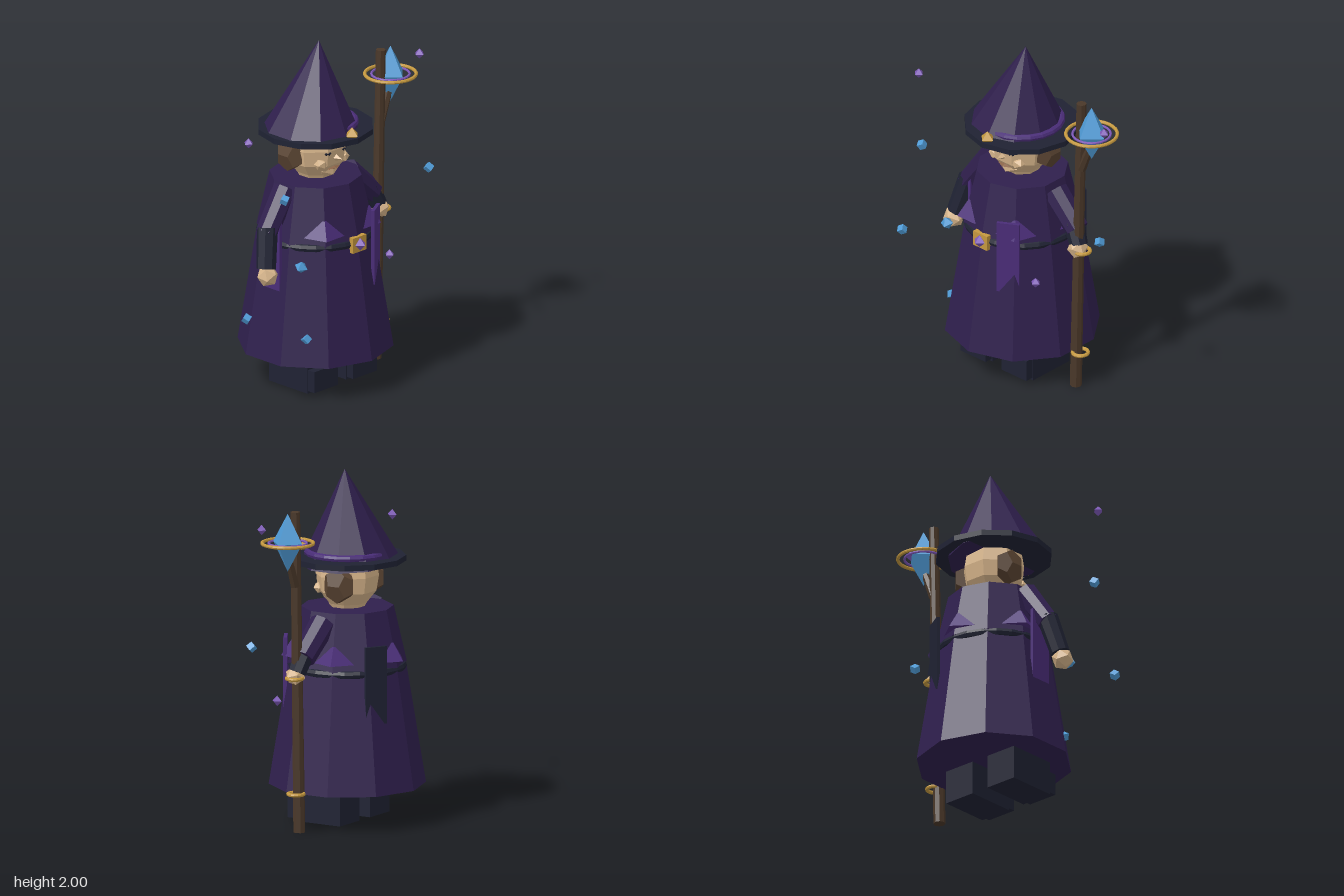
import * as THREE from 'three';

const mat = (name, color) => {
  const m = new THREE.MeshStandardMaterial({ color, flatShading: true });
  m.name = name;
  return m;
};

export function createModel() {
  const robe = mat('robePurple', 0x2f1f4d);
  const trim = mat('trimPurple', 0x4a2d78);
  const dark = mat('darkCloth', 0x1f2233);
  const skin = mat('skin', 0xd6b48a);
  const hair = mat('hairBrown', 0x5a4432);
  const wood = mat('wood', 0x4a3829);
  const gold = mat('gold', 0xc4983f);
  const blue = mat('crystalBlue', 0x4f9bd6);
  const violet = mat('gemViolet', 0x7d58b8);
  const lip = mat('lipBrown', 0x8a6448);

  const model = new THREE.Group();
  const add = (name, geo, material, pos = [0, 0, 0], rot = [0, 0, 0], scale = [1, 1, 1]) => {
    const m = new THREE.Mesh(geo, material);
    m.name = name;
    m.position.set(...pos);
    m.rotation.set(...rot);
    m.scale.set(...scale);
    model.add(m);
    return m;
  };
  const box = (w, h, d) => new THREE.BoxGeometry(w, h, d);
  const octa = (r) => new THREE.OctahedronGeometry(r);
  // upright frustum between two heights
  const frustum = (name, y0, y1, r0, r1, sides, material, turn = 0) =>
    add(name, new THREE.CylinderGeometry(r1, r0, y1 - y0, sides), material, [0, (y0 + y1) / 2, 0], [0, turn, 0]);
  // tapered rod from a to b
  const rod = (name, a, b, ra, rb, sides, material) => {
    const A = new THREE.Vector3(...a), B = new THREE.Vector3(...b);
    const dir = B.clone().sub(A);
    const m = add(name, new THREE.CylinderGeometry(rb, ra, dir.length(), sides), material);
    m.position.copy(A).add(B).multiplyScalar(0.5);
    m.quaternion.setFromUnitVectors(new THREE.Vector3(0, 1, 0), dir.normalize());
  };
  // horizontal ring
  const ring = (name, r, tube, seg, material, pos) =>
    add(name, new THREE.TorusGeometry(r, tube, 8, seg), material, pos, [Math.PI / 2, 0, 0]);

  // Robe, upper body and five-cornered sash
  frustum('robeSkirt', 0.21, 0.92, 0.44, 0.325, 10, robe);
  frustum('robeTop', 0.9, 1.22, 0.333, 0.26, 10, robe);
  frustum('sash', 0.94, 1.04, 0.37, 0.305, 5, trim, Math.PI / 5);

  // Belt with buckle
  ring('belt', 0.308, 0.026, 24, dark, [0, 0.885, 0]);
  add('buckle', box(0.105, 0.09, 0.03), gold, [0, 0.883, 0.33]);
  add('buckleGem', octa(0.038), violet, [0, 0.883, 0.348]);

  // Hanging cloth strips, evenly spaced around the waist
  [[30, trim], [150, dark], [270, trim]].forEach(([deg, m]) => {
    const a = THREE.MathUtils.degToRad(deg);
    add('clothStrip', box(0.13, 0.44, 0.02), m, [Math.sin(a) * 0.345, 0.825, Math.cos(a) * 0.345], [0, a, 0]);
  });

  // Boots
  for (const s of [1, -1]) {
    add('boot', box(0.2, 0.22, 0.3), dark, [s * 0.155, 0.125, 0.035]);
    add('bootToe', box(0.19, 0.125, 0.07), dark, [s * 0.155, 0.0925, 0.2]);
  }

  // Head
  const profile = [[0, 1.2], [0.09, 1.2], [0.11, 1.24], [0.165, 1.31], [0.18, 1.4], [0.165, 1.49], [0, 1.49]]
    .map(([x, y]) => new THREE.Vector2(x, y));
  add('head', new THREE.LatheGeometry(profile, 8), skin, [0, 0, 0], [0, Math.PI / 8, 0]);
  add('chin', new THREE.IcosahedronGeometry(0.07, 0), skin, [0, 1.27, 0.085], [0, 0, 0], [1.1, 0.7, 0.9]);
  add('nose', new THREE.ConeGeometry(0.03, 0.07, 4), skin, [0, 1.352, 0.172], [Math.PI / 2, 0, 0]);
  add('mouth', octa(0.05), lip, [0, 1.288, 0.142], [0, 0, 0], [1, 0.2, 0.5]);
  for (const s of [1, -1]) {
    add('eye', octa(0.034), dark, [s * 0.056, 1.39, 0.157], [0, 0, 0], [1, 0.72, 0.4]);
    add('cheek', new THREE.IcosahedronGeometry(0.045, 0), skin, [s * 0.085, 1.325, 0.125], [0, 0, 0], [1, 0.8, 0.8]);
    add('sideHair', new THREE.DodecahedronGeometry(0.1), hair, [s * 0.158, 1.365, -0.045], [0, 0, 0], [0.62, 1.08, 1.02]);
  }

  // Hat: level brim and band, leaning cone
  frustum('hatBrim', 1.478, 1.51, 0.33, 0.33, 12, dark);
  add('hatCone', new THREE.ConeGeometry(0.282, 0.53, 10), robe, [0, 1.738, 0], [0, 0, -0.1]);
  ring('hatBand', 0.222, 0.02, 20, trim, [0, 1.528, 0]);
  add('hatGem', octa(0.044), gold, [0, 1.52, 0.285]);

  // Arms: purple upper sleeve, dark forearm, hand
  rod('rightUpperArm', [-0.24, 1.19, 0], [-0.405, 0.965, 0.01], 0.07, 0.062, 8, robe);
  rod('rightForearm', [-0.395, 1.0, 0.01], [-0.45, 0.78, 0.055], 0.06, 0.055, 8, dark);
  add('rightHand', new THREE.IcosahedronGeometry(0.063, 0), skin, [-0.455, 0.745, 0.07], [0.2, 0.2, 0.1]);
  rod('leftUpperArm', [0.25, 1.16, 0], [0.435, 0.99, 0.015], 0.075, 0.068, 8, robe);
  rod('leftForearm', [0.405, 1.03, 0.015], [0.465, 0.91, 0.035], 0.06, 0.052, 8, dark);
  add('leftHand', new THREE.IcosahedronGeometry(0.06, 0), skin, [0.465, 0.895, 0.045], [0.3, 0.2, 0]);

  // Staff with side branch, crystal and rings
  rod('staff', [0.442, 0, 0.035], [0.485, 1.83, 0.035], 0.034, 0.028, 8, wood);
  rod('staffBranch', [0.484, 1.41, 0.035], [0.555, 1.58, 0.035], 0.028, 0.02, 6, wood);
  add('staffCrystal', octa(1), blue, [0.562, 1.668, 0.035], [0, 0, 0], [0.096, 0.165, 0.096]);
  ring('crystalOuterRing', 0.144, 0.01, 28, gold, [0.562, 1.665, 0.035]);
  ring('crystalInnerRing', 0.107, 0.007, 24, violet, [0.562, 1.665, 0.035]);
  ring('staffRing', 0.044, 0.011, 16, gold, [0.477, 0.222, 0.035]);
  ring('staffRing', 0.044, 0.011, 16, gold, [0.492, 0.883, 0.035]);

  // Floating gems and cubes
  [[-0.668, 1.61, 0.13], [0.722, 1.76, 0.105], [0.335, 0.705, 0.25]].forEach((p) =>
    add('floatingGem', octa(0.03), violet, p));
  [[-0.518, 1.265, 0.265], [-0.742, 0.597, 0.187], [0.74, 1.09, 0.16], [-0.315, 0.37, 0.235]].forEach((p, i) =>
    add('floatingCube', box(0.038, 0.038, 0.038), blue, p, [0.4 + i * 0.2, 0.5, 0.3]));
  add('floatingCrystal', octa(0.04), blue, [-0.355, 0.812, 0.235], [0.2, 0.3, 0.2]);

  return model;
}
